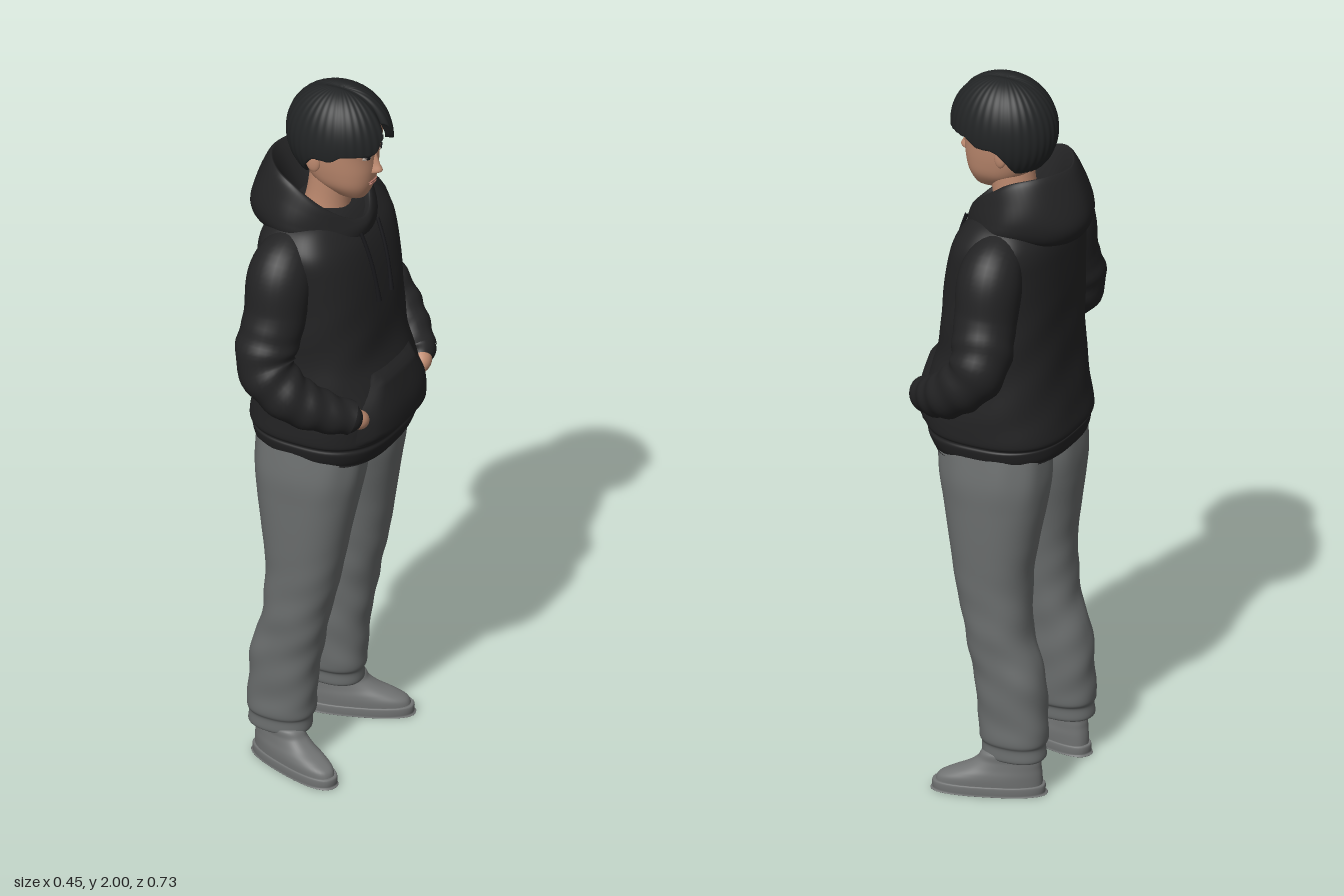
import * as THREE from 'three';
import { mergeVertices } from 'three/addons/utils/BufferGeometryUtils.js';

const paint = (name, color) => Object.assign(new THREE.MeshStandardMaterial({ color }), { name });
const { smoothstep, clamp } = THREE.MathUtils;
const { sin, cos, abs, sign, pow, exp, sqrt, PI } = Math;

// Smooth grid surface; fn(u, v) returns [x, y, z]
function grid(nu, nv, fn) {
  const pos = [], idx = [];
  for (let j = 0; j <= nv; j++) for (let i = 0; i <= nu; i++) {
    pos.push(...fn(i / nu, j / nv));
    if (i < nu && j < nv) {
      const p = j * (nu + 1) + i, up = p + nu + 1;
      idx.push(p, up, p + 1, p + 1, up, up + 1);
    }
  }
  const geo = new THREE.BufferGeometry();
  geo.setAttribute('position', new THREE.Float32BufferAttribute(pos, 3));
  geo.setIndex(idx);
  const welded = mergeVertices(geo, 1e-5);
  welded.computeVertexNormals();
  return welded;
}

// Catmull-Rom sample of a list of rows at t in 0..1
function sample(rows, t) {
  const f = clamp(t, 0, 1) * (rows.length - 1), i = Math.min(Math.floor(f), rows.length - 2), s = f - i;
  const at = k => rows[clamp(k, 0, rows.length - 1)];
  const [a, b, c, d] = [at(i - 1), at(i), at(i + 1), at(i + 2)];
  return b.map((q, k) => q + 0.5 * s * (c[k] - a[k] + s * (2 * a[k] - 5 * q + 4 * c[k] - d[k]
    + s * (3 * (q - c[k]) + d[k] - a[k]))));
}

// Cross-section row: [height, back x, front x, z min, z max, tilt, lift]
const row = (y, back, front, z0, z1, tilt = 0, lift = 0) => [y, back, front, z0, z1, tilt, lift];
const wide = (y, back, front, hz, tilt, lift) => row(y, back, front, -hz, hz, tilt, lift);

// Closed skin over the rows; n sets how square the sections are
function loft(rows, n = 2.3, fold = () => 0, nu = 56, nv = 64) {
  return grid(nu, nv, (u, v) => {
    const [y, b, f, z0, z1, tilt, lift] = sample(rows, v);
    const a = (u * 2 - 1) * PI, c = cos(a), s = sin(a), k = 1 + fold(a, y);
    return [(b + f) / 2 + (f - b) / 2 * sign(c) * pow(abs(c), 2 / n) * k, y + tilt * c + lift * c * c,
      (z0 + z1) / 2 + (z1 - z0) / 2 * sign(s) * pow(abs(s), 2 / n) * k];
  });
}

// Front x of a loft at a given height and z
function frontX(rows, y, z, n = 2.3) {
  let lo = 0, hi = 1;
  for (let i = 0; i < 24; i++) {
    const m = (lo + hi) / 2;
    if (sample(rows, m)[0] < y) lo = m; else hi = m;
  }
  const [, b, f, z0, z1] = sample(rows, lo);
  const w = Math.min(abs((z - (z0 + z1) / 2) / ((z1 - z0) / 2)), 1);
  return (b + f) / 2 + (f - b) / 2 * pow(1 - pow(w, n), 1 / n);
}

// Thin panel that follows the front of a loft
function panel(rows, y0, y1, zc, width, off, slant = 0, n = 2.3) {
  return grid(28, 16, (u, v) => {
    const z = zc + (u * 2 - 1) * width(v), y = y0 + (y1 - y0) * v + slant * (u - 0.5);
    const edge = Math.min(1, 8 * Math.min(u, 1 - u, v, 1 - v));
    return [frontX(rows, y, z, n) - 0.002 + (off + 0.002) * edge, y, z];
  });
}
const oval = hw => v => hw * sqrt(Math.max(0, 1 - (2 * v - 1) ** 2));

// Tube whose radius changes along the path
function limb(points, radii, fold = () => 0) {
  const curve = new THREE.CatmullRomCurve3(points.map(p => new THREE.Vector3(...p)));
  const segs = 60, ring = 28, geo = new THREE.TubeGeometry(curve, segs, 1, ring);
  const pos = geo.attributes.position, v = new THREE.Vector3();
  for (let i = 0; i < pos.count; i++) {
    const t = Math.floor(i / (ring + 1)) / segs, c = curve.getPointAt(t);
    const r = sample(radii.map(q => [q]), t)[0] * (1 + fold(t, (i % (ring + 1)) / ring * 2 * PI));
    v.fromBufferAttribute(pos, i).sub(c).multiplyScalar(r).add(c);
    pos.setXYZ(i, v.x, v.y, v.z);
  }
  geo.deleteAttribute('uv');
  geo.deleteAttribute('normal');
  const welded = mergeVertices(geo, 1e-5);
  welded.computeVertexNormals();
  return welded;
}

export function createModel() {
  const model = new THREE.Group();
  model.name = 'standingMan';
  const cloth = paint('black fleece', 0x232324), hairMat = paint('black hair', 0x222425);
  const grey = paint('grey trousers', 0x6a6d6d), shoeMat = paint('grey shoes', 0x717373);
  const skin = paint('skin', 0xbf8b70), lipMat = paint('lips', 0xab7062);
  const white = paint('eye white', 0xc8b8ac), dark = paint('dark detail', 0x17171a);
  const add = (name, geo, mat) => {
    const mesh = new THREE.Mesh(geo, mat);
    mesh.name = name;
    model.add(mesh);
    return mesh;
  };

  // Sweatshirt body with ribbed hem
  const square = 2.7;
  const torso = [
    wide(0.975, 0, 0.01, 0.001, -0.008), wide(0.96, -0.16, 0.155, 0.19, -0.008), wide(0.965, -0.183, 0.178, 0.206, -0.008),
    wide(1.0, -0.19, 0.195, 0.218, -0.005), wide(1.012, -0.189, 0.195, 0.215), wide(1.03, -0.198, 0.205, 0.222),
    wide(1.1, -0.187, 0.207, 0.221), wide(1.18, -0.177, 0.187, 0.215), wide(1.25, -0.172, 0.165, 0.21),
    wide(1.33, -0.17, 0.156, 0.212), wide(1.42, -0.17, 0.147, 0.215), wide(1.5, -0.168, 0.133, 0.22),
    wide(1.56, -0.163, 0.115, 0.222), wide(1.6, -0.15, 0.092, 0.205), wide(1.635, -0.12, 0.06, 0.165),
    wide(1.65, -0.08, 0.03, 0.1), wide(1.652, 0, 0.01, 0.001)];
  add('sweatshirtBody', loft(torso, square, (a, y) =>
    0.006 * sin(a * 5 + y * 38) * smoothstep(y, 1.03, 1.1) * (1 - smoothstep(y, 1.3, 1.5)), 72, 90), cloth);
  add('frontPocket', panel(torso, 1.02, 1.215, 0, v => 0.178 - 0.072 * smoothstep(v, 0.4, 1), 0.016, 0, square), cloth);

  // Hood lying on the shoulders, drawn to a point at the back
  const fold = (front, side, back, x0, x1, hz) =>
    wide(side, x0, x1, hz, (front - back) / 2, (front + back) / 2 - side);
  add('hood', loft([
    fold(1.55, 1.59, 1.56, -0.15, 0.09, 0.15), fold(1.575, 1.62, 1.575, -0.2, 0.105, 0.175),
    fold(1.595, 1.655, 1.62, -0.227, 0.108, 0.175), fold(1.612, 1.7, 1.68, -0.217, 0.105, 0.163),
    fold(1.625, 1.74, 1.765, -0.178, 0.095, 0.146), fold(1.62, 1.735, 1.755, -0.158, 0.085, 0.128),
    fold(1.59, 1.65, 1.65, -0.1, 0.06, 0.09)], 1.85, (a, y) => 0.01 * sin(a * 6 + y * 30)), cloth);

  // Head, neck and face
  const head = [
    wide(1.68, 0.05, 0.06, 0.001), wide(1.684, 0.02, 0.09, 0.026), wide(1.7, -0.01, 0.103, 0.044),
    wide(1.73, -0.05, 0.115, 0.065), wide(1.77, -0.08, 0.122, 0.077), wide(1.82, -0.095, 0.125, 0.085),
    wide(1.87, -0.1, 0.133, 0.088), wide(1.92, -0.09, 0.128, 0.082), wide(1.96, -0.05, 0.08, 0.05), wide(1.97, 0.01, 0.02, 0.001)];
  add('head', loft(head), skin);
  add('neck', limb([[-0.03, 1.56, 0], [-0.015, 1.66, 0], [0, 1.76, 0]], [0.075, 0.06, 0.06]), skin);
  add('nose', loft([
    wide(1.764, 0.1, 0.118, 0.006), wide(1.768, 0.09, 0.134, 0.015), wide(1.777, 0.09, 0.145, 0.015),
    wide(1.795, 0.09, 0.137, 0.011), wide(1.825, 0.09, 0.127, 0.009), wide(1.85, 0.09, 0.127, 0.006)], 2, undefined, 24, 24), skin);
  add('upperLip', panel(head, 1.738, 1.744, 0, oval(0.023), 0.004), lipMat);
  add('lowerLip', panel(head, 1.73, 1.738, 0, oval(0.019), 0.005), lipMat);
  for (const s of [1, -1]) {
    add('eye', panel(head, 1.819, 1.831, s * 0.035, oval(0.015), 0.003), white);
    add('iris', panel(head, 1.819, 1.831, s * 0.035, oval(0.006), 0.005), dark);
    add('eyelid', panel(head, 1.829, 1.833, s * 0.035, oval(0.017), 0.005), dark);
    add('eyebrow', panel(head, 1.848, 1.855, s * 0.038, oval(0.02), 0.004, -s * 0.003), hairMat);
    const ear = add('ear', new THREE.SphereGeometry(1, 20, 14), skin);
    ear.scale.set(0.02, 0.033, 0.009);
    ear.position.set(-0.014, 1.808, s * 0.089);
    ear.rotation.set(0, s * 0.25, 0.15);
  }

  // Hair cap with two lobes, a centre parting and fine strands
  add('hair', grid(200, 56, (u, v) => {
    const a = (u * 2 - 1) * PI, q = abs(a);
    const edge = 1.92 - 0.07 * smoothstep(q, 0, 0.5) - 0.02 * smoothstep(q, 1.1, 1.4) - 0.075 * smoothstep(q, 1.65, 2.3);
    const tMax = Math.acos((edge - 1.86) / 0.142);
    const lip = v < 0.1 ? 0.84 + 1.6 * v : 1;
    const t = tMax * (1 - Math.max(0, (v - 0.1) / 0.9)), flat = pow(abs(sin(t)), 0.9);
    const z0 = 0.117 * flat * sin(a), front = smoothstep(cos(a) * sin(t), -0.75, 0.1);
    const groove = 1 - (0.05 + 0.05 * smoothstep(cos(a) * sin(t), 0.6, 1)) * front * exp(-((z0 / 0.011) ** 2));
    const k = lip * groove * (1 + 0.006 * sin(a * 36) * sin(t));
    return [0.018 + 0.147 * flat * cos(a) * k, 1.86 + 0.142 * cos(t) * (v < 0.1 ? 1 : k), z0 * k];
  }), hairMat);

  for (const s of [1, -1]) {
    const side = s > 0 ? 'left' : 'right';
    const mirror = pts => pts.map(([x, y, z]) => [x, y, z * s]);

    // Sleeve bent at the elbow, hand in the pocket
    add(side + 'Sleeve', limb(mirror([[-0.045, 1.575, 0.13], [-0.045, 1.53, 0.2], [-0.045, 1.41, 0.235], [-0.045, 1.28, 0.287],
      [0.02, 1.205, 0.285], [0.095, 1.155, 0.24], [0.155, 1.125, 0.19]]), [0.065, 0.086, 0.083, 0.08, 0.07, 0.06, 0.046],
      (t, a) => 0.04 * sin(t * 58 + 2.2 * sin(a)) * smoothstep(t, 0.35, 0.5)), cloth);
    add(side + 'Cuff', limb(mirror([[0.14, 1.133, 0.203], [0.157, 1.123, 0.187], [0.165, 1.117, 0.175]]),
      [0.045, 0.043, 0.028]), cloth);
    add(side + 'Hand', limb(mirror([[0.15, 1.128, 0.19], [0.168, 1.113, 0.17], [0.15, 1.095, 0.135]]), [0.027, 0.026, 0.02]), skin);

    // Drawstring
    const cord = [1.6, 1.55, 1.5, 1.45, 1.4].map((y, i) =>
      [frontX(torso, y, 0.04, square) + (i ? 0.005 : 0.014), y, 0.045 - i * 0.003]);
    add(side + 'Drawstring', limb(mirror(cord), [0.005, 0.005, 0.005, 0.005, 0.007]), dark);

    // Trouser leg with slanting creases, gathered at the ankle
    const leg = [[0.1, -0.15, -0.01, 0.095, 0.19], [0.108, -0.168, 0.005, 0.08, 0.203], [0.14, -0.166, 0.006, 0.078, 0.203],
      [0.16, -0.172, 0.014, 0.068, 0.21], [0.22, -0.168, 0.016, 0.064, 0.21], [0.33, -0.162, 0.03, 0.06, 0.213],
      [0.45, -0.126, 0.052, 0.053, 0.218], [0.6, -0.118, 0.085, 0.037, 0.221], [0.72, -0.133, 0.106, 0.02, 0.225],
      [0.82, -0.15, 0.125, 0, 0.226], [0.9, -0.16, 0.14, -0.012, 0.225], [0.99, -0.16, 0.148, -0.012, 0.21]];
    add(side + 'TrouserLeg', loft(leg.map(([y, b, f, i, o]) => row(y, b, f, s > 0 ? i : -o, s > 0 ? o : -i)), 2.3,
      (a, y) => (0.014 * sin(y * 60 + 3 * a * s) + 0.012 * sin(y * 37 - 2 * a * s)) * (1 - smoothstep(y, 0.4, 0.75))
        * smoothstep(y, 0.12, 0.2) + 0.012 * sin(a * 9) * smoothstep(y, 0.8, 0.95), 56, 90), grey);

    // Shoe turned outwards, with its sole
    const shoe = new THREE.Group();
    shoe.name = side + 'Shoe';
    const sole = loft([wide(0, 0, 0.01, 0.001), wide(0, -0.135, 0.15, 0.047), wide(0.006, -0.14, 0.157, 0.051),
      wide(0.026, -0.14, 0.157, 0.051), wide(0.028, -0.13, 0.145, 0.045)], 2.5, undefined, 48, 24);
    const upper = loft([wide(0.02, -0.133, 0.15, 0.047), wide(0.042, -0.133, 0.142, 0.048), wide(0.058, -0.132, 0.112, 0.047),
      wide(0.075, -0.13, 0.07, 0.044), wide(0.095, -0.128, 0.04, 0.042), wide(0.12, -0.12, 0.02, 0.04),
      wide(0.125, -0.05, -0.04, 0.001)], 2.4, undefined, 48, 40);
    [['sole', sole], ['upper', upper]].forEach(([name, geo]) => {
      const mesh = new THREE.Mesh(geo, shoeMat);
      mesh.name = name;
      shoe.add(mesh);
    });
    shoe.position.set(-0.03, 0, s * 0.168);
    shoe.rotation.y = -s * 0.34;
    model.add(shoe);
  }
  return model;
}
